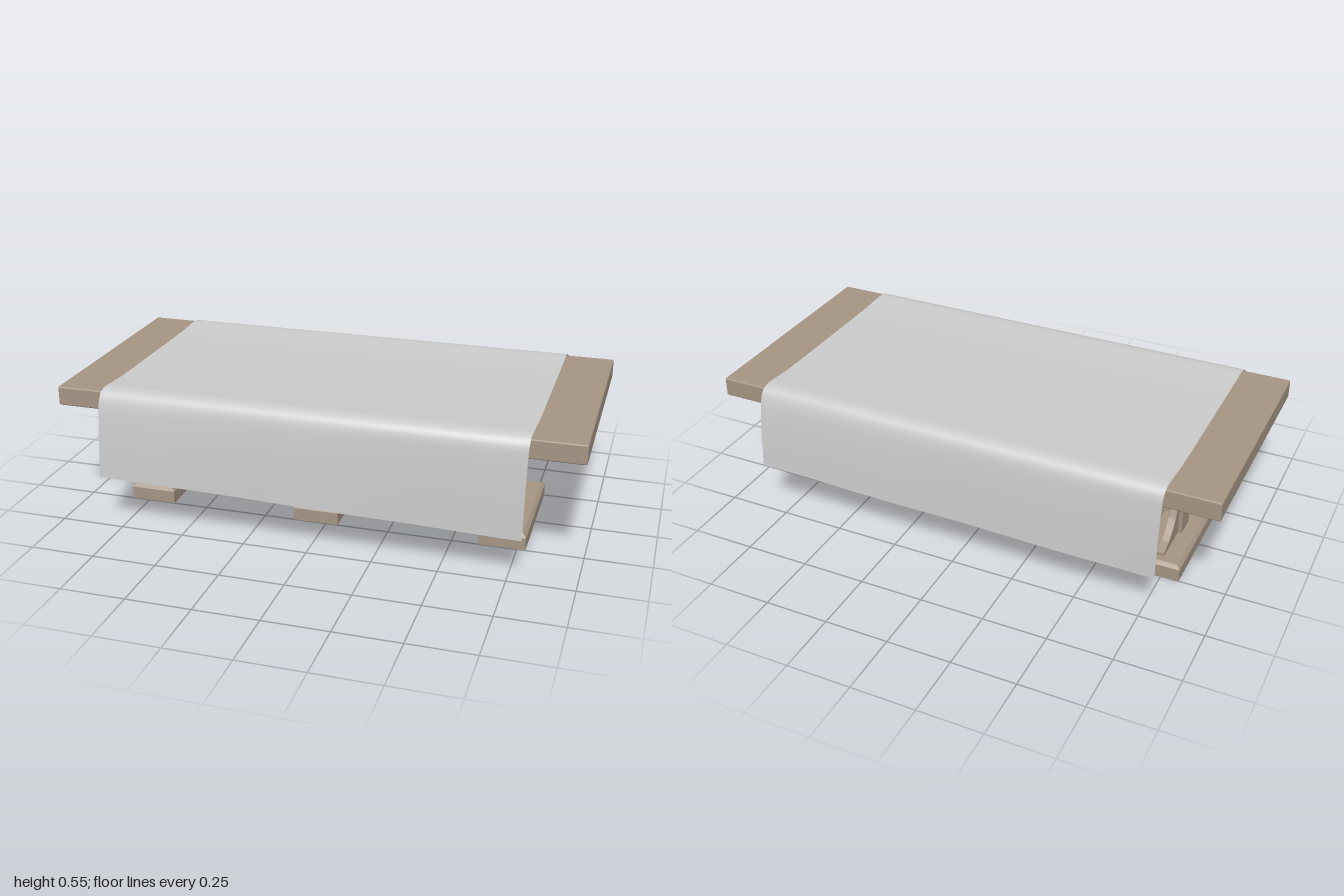
import * as THREE from 'three';
import { RoundedBoxGeometry } from 'three/addons/geometries/RoundedBoxGeometry.js';

const wood = new THREE.MeshStandardMaterial({ color: 0xa59584 });
const linen = new THREE.MeshStandardMaterial({ color: 0xcccccc, side: THREE.DoubleSide });

function add(parent, name, geometry, material, x = 0, y = 0, z = 0) {
  const mesh = new THREE.Mesh(geometry, material);
  mesh.name = name;
  mesh.position.set(x, y, z);
  parent.add(mesh);
  return mesh;
}

// Foot block with its upper edges bevelled inward
function footGeometry(w, h, d, bevel) {
  const geo = new THREE.BoxGeometry(w, h, d, 1, 2, 1);
  const p = geo.attributes.position;
  for (let i = 0; i < p.count; i++) {
    const y = p.getY(i);
    if (y > h / 4) {
      p.setX(i, p.getX(i) - Math.sign(p.getX(i)) * bevel);
      p.setZ(i, p.getZ(i) - Math.sign(p.getZ(i)) * bevel);
    } else if (y > -h / 4) p.setY(i, h / 2 - bevel);
  }
  const flat = geo.toNonIndexed();
  flat.computeVertexNormals();
  return flat;
}

// Curved brace, mirrored on both sides of the post
function braceGeometry(thickness) {
  const side = [[0.21, 0.06], [0.21, 0.077], [0.157, 0.093], [0.133, 0.11], [0.11, 0.13],
    [0.09, 0.157], [0.077, 0.185], [0.071, 0.21], [0.057, 0.292]];
  const outline = [...side, ...side.map(([z, y]) => [-z, y]).reverse()];
  const shape = new THREE.Shape(outline.map(([z, y]) => new THREE.Vector2(z, y)));
  const geo = new THREE.ExtrudeGeometry(shape, { depth: thickness, bevelEnabled: false });
  geo.translate(0, 0, -thickness / 2);
  geo.rotateY(-Math.PI / 2);
  return geo;
}

// Cloth lying over the top and hanging down at front and back, slightly askew
function clothGeometry() {
  const columns = 24, rows = 48;
  const geo = new THREE.PlaneGeometry(2, 2, columns, rows);
  const p = geo.attributes.position;
  const lerp = THREE.MathUtils.lerp;
  for (let c = 0; c <= columns; c++) {
    const u = (c / columns) * 2 - 1;
    for (const s of [-1, 1]) {
      const k = (u + 1) / 2;
      const hemY = s > 0 ? lerp(0.21, 0.165, k) : lerp(0.185, 0.217, k);
      const hemZ = s > 0 ? lerp(0.511, 0.495, k) : lerp(0.499, 0.513, k);
      const bulge = hemZ - 0.503;
      const curve = new THREE.CatmullRomCurve3([
        [0, 0.544], [0.3, 0.545], [0.39, 0.55], [0.435, 0.55], [0.463, 0.54],
        [0.479, 0.515], [0.488 + bulge * 0.4, 0.46], [0.497 + bulge * 0.8, 0.34], [hemZ, hemY],
      ].map(([z, y]) => new THREE.Vector3(0, y, z)));
      for (let r = 0; r <= rows / 2; r++) {
        const t = r / (rows / 2);
        const q = curve.getPoint(t);
        const ripple = 0.002 * Math.sin(u * 7 + s) * Math.max(0, t - 0.6) / 0.4;
        const index = (rows / 2 + s * r) * (columns + 1) + c;
        p.setXYZ(index, 0.81 * u - 0.012 * s * t, q.y, s * (q.z + ripple));
      }
    }
  }
  geo.computeVertexNormals();
  return geo;
}

export function createModel() {
  const table = new THREE.Group();
  table.name = 'clothedTable';

  add(table, 'tableTop', new RoundedBoxGeometry(2, 0.075, 0.915, 2, 0.006), wood, 0, 0.5025, 0);
  add(table, 'tablecloth', clothGeometry(), linen);

  // Three pedestals
  const foot = footGeometry(0.18, 0.063, 0.5, 0.013);
  const post = new THREE.BoxGeometry(0.056, 0.407, 0.088);
  const brace = braceGeometry(0.028);
  for (const x of [-0.73, -0.043, 0.692]) {
    const pedestal = new THREE.Group();
    pedestal.name = 'pedestal';
    pedestal.position.x = x;
    add(pedestal, 'foot', foot, wood, 0, 0.0315, 0);
    add(pedestal, 'post', post, wood, 0, 0.2635, 0);
    add(pedestal, 'brace', brace, wood);
    table.add(pedestal);
  }

  // Rail joining the pedestals
  add(table, 'stretcher', new THREE.BoxGeometry(1.42, 0.023, 0.04), wood, -0.019, 0.143, 0);
  return table;
}
